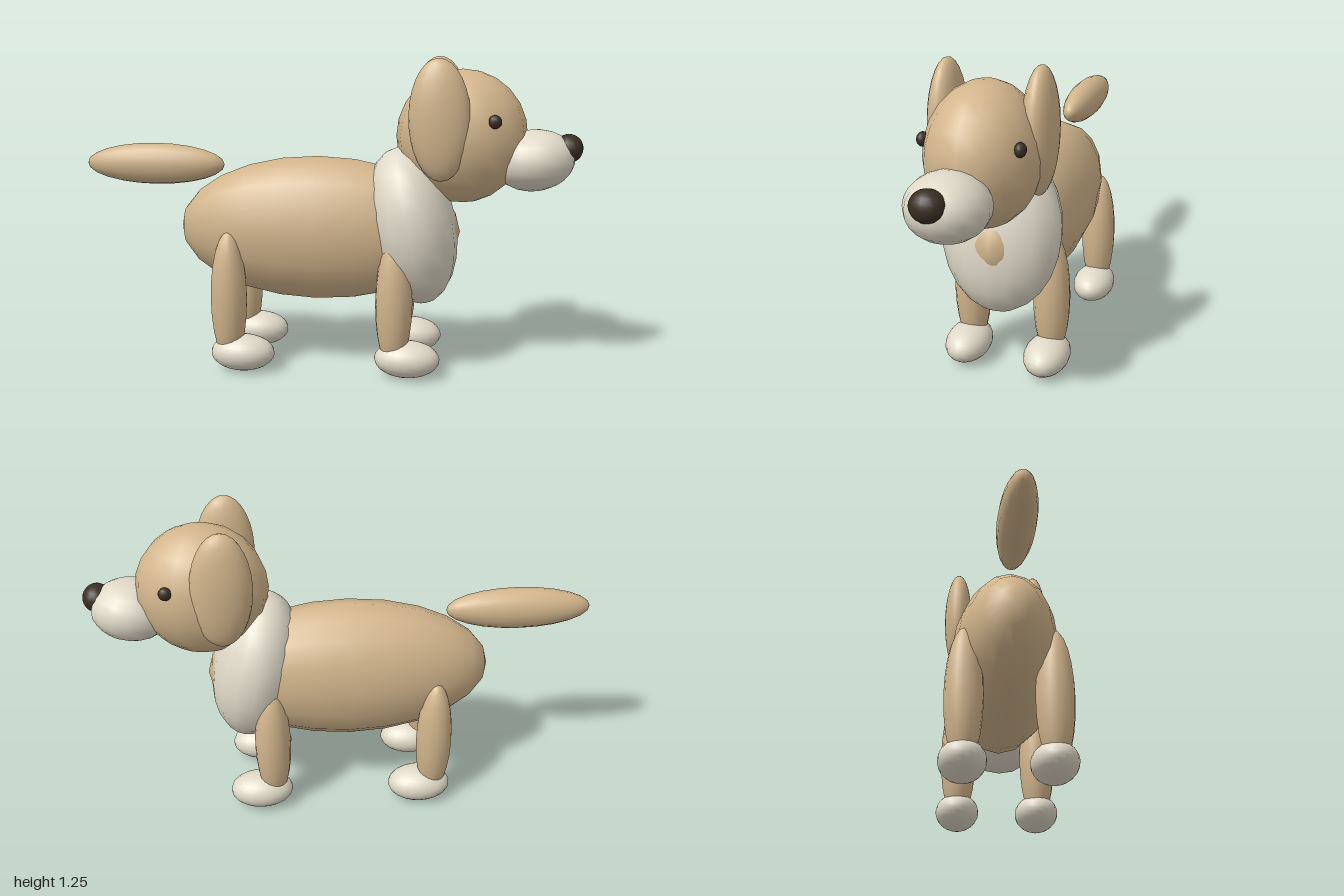
import * as THREE from 'three';

const tan = new THREE.MeshStandardMaterial({ name: 'tanFur', color: 0xd2b58c });
const cream = new THREE.MeshStandardMaterial({ name: 'creamFur', color: 0xe0d9c8 });
const dark = new THREE.MeshStandardMaterial({ name: 'darkBrown', color: 0x3a2e23 });

// Smooth low-segment ellipsoid; poles lie along x when alongX is set
function blob(name, material, center, radii, { tilt = 0, alongX = false, segments = 16 } = {}) {
  const geometry = new THREE.SphereGeometry(1, segments, Math.round(segments * 0.75));
  if (alongX) geometry.rotateZ(-Math.PI / 2);
  geometry.scale(...radii);
  const mesh = new THREE.Mesh(geometry, material);
  mesh.name = name;
  mesh.position.set(...center);
  mesh.rotation.z = tilt;
  return mesh;
}

export function createModel() {
  const dog = new THREE.Group();
  dog.name = 'dog';

  // Trunk and tail
  dog.add(
    blob('body', tan, [-0.032, 0.562, 0], [0.57, 0.295, 0.216], { alongX: true }),
    blob('chest', cream, [0.345, 0.585, 0.014], [0.178, 0.32, 0.235], { tilt: 0.2 }),
    blob('tail', tan, [-0.71, 0.815, 0], [0.29, 0.085, 0.07], { alongX: true }),
  );

  // Head with muzzle and nose
  dog.add(
    blob('head', tan, [0.535, 0.945, 0], [0.256, 0.262, 0.207]),
    blob('muzzle', cream, [0.815, 0.856, 0.015], [0.16, 0.12, 0.146], { tilt: 0.12 }),
    blob('nose', dark, [0.945, 0.905, 0.024], [0.055, 0.056, 0.062]),
  );

  // Mirrored ears, eyes, legs and paws
  for (const [side, s] of [['left', -1], ['right', 1]]) {
    dog.add(
      blob(side + 'Ear', tan, [0.45, 1.02, s * 0.174], [0.117, 0.232, 0.062], { tilt: 0.04, segments: 20 }),
      blob(side + 'Eye', dark, [0.655, 1.017, s * 0.175], [0.026, 0.026, 0.021], { segments: 12 }),
    );
    for (const [end, x] of [['Front', 0.287], ['Rear', -0.373]]) {
      dog.add(
        blob(side + end + 'Leg', tan, [x, 0.3, s * 0.164], [0.073, 0.27, 0.072]),
        blob(side + end + 'Paw', cream, [x + 0.054, 0.076, s * 0.164], [0.129, 0.073, 0.088], { segments: 20 }),
      );
    }
  }
  return dog;
}
